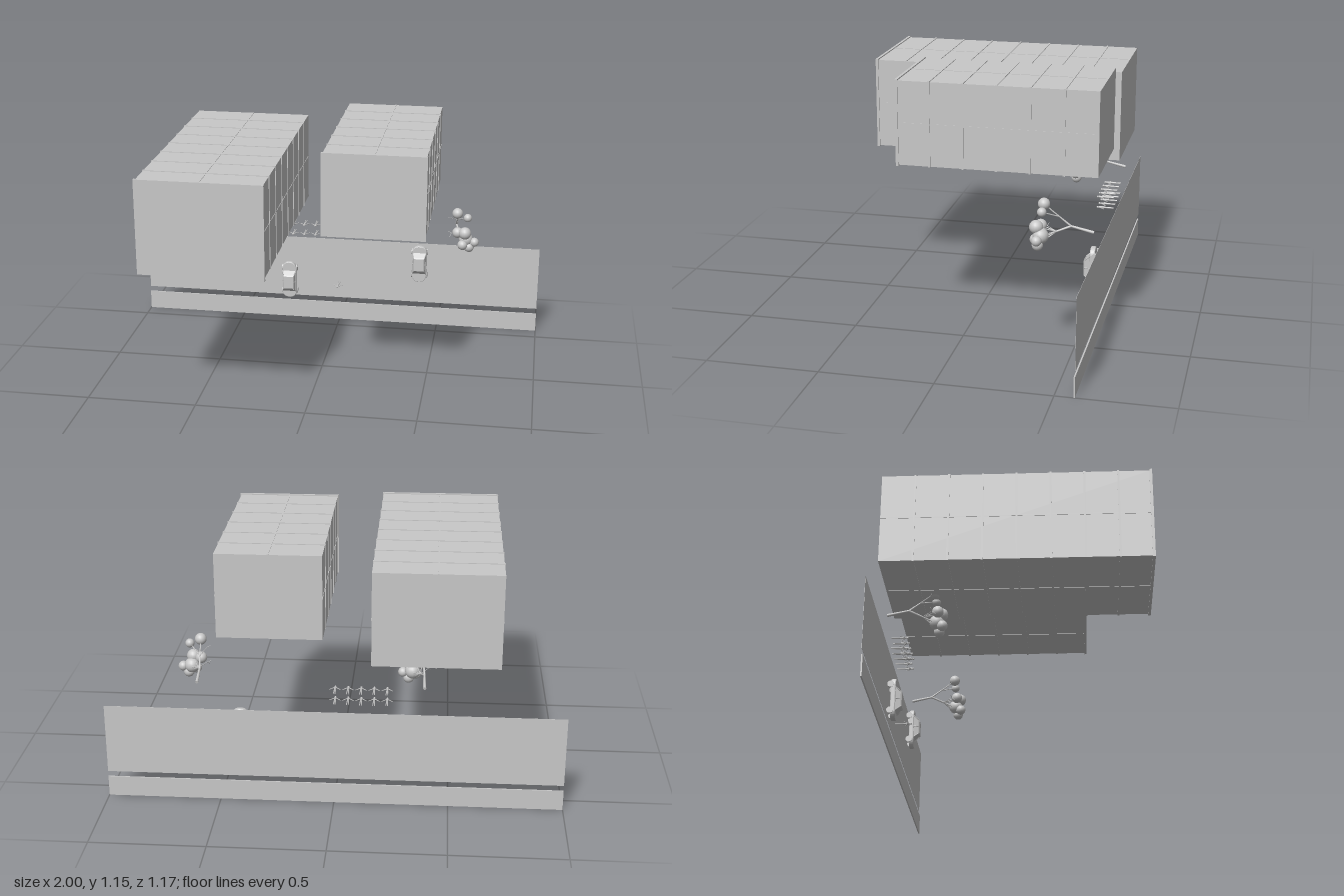
import * as THREE from 'three';

const GROUND = -0.585; // the scene's own "up" runs along +z
const grey = new THREE.MeshStandardMaterial({ color: 0xc8c8c8 });
grey.name = 'grey';

function add(parent, name, geometry, x = 0, y = 0, z = 0) {
  const mesh = new THREE.Mesh(geometry, grey);
  mesh.name = name;
  mesh.position.set(x, y, z);
  parent.add(mesh);
  return mesh;
}

// Box given by its limits on each axis
function slab(parent, name, [x0, x1], [y0, y1], [z0, z1]) {
  return add(parent, name, new THREE.BoxGeometry(x1 - x0, y1 - y0, z1 - z0),
    (x0 + x1) / 2, (y0 + y1) / 2, (z0 + z1) / 2);
}

// Tapered rod between two points
function rod(parent, name, a, b, r0, r1 = r0, sides = 8) {
  const p = new THREE.Vector3(...a), q = new THREE.Vector3(...b);
  const d = q.clone().sub(p);
  const mesh = add(parent, name, new THREE.CylinderGeometry(r1, r0, d.length(), sides));
  mesh.position.copy(p).add(q).multiplyScalar(0.5);
  mesh.quaternion.setFromUnitVectors(new THREE.Vector3(0, 1, 0), d.normalize());
  return mesh;
}

function group(parent, name, x = 0, y = 0, z = 0) {
  const g = new THREE.Group();
  g.name = name;
  g.position.set(x, y, z);
  parent.add(g);
  return g;
}

// Block with floor bands, a mullion in the middle of each side and a roof slab
function building(parent, name, [x0, x1], [y0, y1], top) {
  const g = group(parent, name);
  slab(g, 'walls', [x0, x1], [y0, y1], [GROUND, top - 0.006]);
  const e = 0.003, m = 0.002, h = 0.003;
  for (let z = GROUND + 0.1463; z < top - 0.05; z += 0.1463)
    slab(g, 'floorBand', [x0 - e, x1 + e], [y0 - e, y1 + e], [z - 0.0045, z + 0.0045]);
  const cx = (x0 + x1) / 2, cy = (y0 + y1) / 2;
  slab(g, 'sideMullions', [x0 - m, x1 + m], [cy - h, cy + h], [GROUND, top - 0.006]);
  slab(g, 'faceMullions', [cx - h, cx + h], [y0 - m, y1 + m], [GROUND, top - 0.006]);
  slab(g, 'roofSlab', [x0 - 0.005, x1 + 0.005], [y0 - 0.005, y1 + 0.005], [top - 0.012, top]);
}

// Rounded car outline seen from above
function carOutline(w, l) {
  const s = new THREE.Shape();
  s.moveTo(-w, -l * 0.72);
  s.quadraticCurveTo(-w * 0.85, -l, 0, -l);
  s.quadraticCurveTo(w * 0.85, -l, w, -l * 0.72);
  s.lineTo(w, l * 0.65);
  s.quadraticCurveTo(w * 0.8, l, 0, l);
  s.quadraticCurveTo(-w * 0.8, l, -w, l * 0.65);
  s.closePath();
  return s;
}

// Four-sided tapered block, base at z = 0
function frustum(w0, l0, w1, l1, h) {
  const geo = new THREE.BoxGeometry(2, 2, h).translate(0, 0, h / 2);
  const p = geo.attributes.position;
  for (let i = 0; i < p.count; i++) {
    const up = p.getZ(i) > h / 2;
    p.setX(i, p.getX(i) * (up ? w1 : w0));
    p.setY(i, p.getY(i) * (up ? l1 : l0));
  }
  geo.computeVertexNormals();
  return geo;
}

function car(parent, x, y, dir) {
  const g = group(parent, 'car', x, y, GROUND);
  if (dir < 0) g.rotation.z = Math.PI;
  add(g, 'body', new THREE.ExtrudeGeometry(carOutline(0.034, 0.093), {
    depth: 0.012, bevelThickness: 0.005, bevelSize: 0.003, bevelSegments: 2, curveSegments: 8,
  }), 0, 0, 0.021);
  add(g, 'cabin', frustum(0.033, 0.056, 0.026, 0.034, 0.024), 0, -0.006, 0.037);
  add(g, 'roof', frustum(0.028, 0.038, 0.024, 0.032, 0.005), 0, -0.006, 0.06);
  for (const s of [-1, 1]) {
    for (const wy of [-0.062, 0.061]) {
      const wheel = add(g, 'wheel', new THREE.CylinderGeometry(0.015, 0.015, 0.012, 20), s * 0.034, wy, 0.0155);
      wheel.rotation.z = Math.PI / 2;
    }
    // Window pillars
    for (const [b, t] of [[-0.062, -0.04], [-0.006, -0.006], [0.05, 0.028]])
      rod(g, 'pillar', [s * 0.033, b, 0.036], [s * 0.026, t, 0.062], 0.0025, 0.0025, 6);
  }
}

// Standing figure with arms held away from the sides
function figure(parent, x, y) {
  const g = group(parent, 'figure', x, y, GROUND);
  add(g, 'head', new THREE.SphereGeometry(0.005, 10, 8), 0, 0, 0.073);
  rod(g, 'torso', [0, 0, 0.037], [0, 0, 0.068], 0.004, 0.005);
  for (const s of [-1, 1]) {
    rod(g, 'leg', [s * 0.004, 0, 0], [s * 0.002, 0, 0.039], 0.002, 0.003, 6);
    rod(g, 'arm', [s * 0.003, 0, 0.064], [s * 0.024, 0, 0.042], 0.0025, 0.0015, 6);
  }
}

function tree(parent, x) {
  const g = group(parent, 'tree', x, 0.56, GROUND);
  const fork = [0.003, 0.022, 0.096], low = [0.02, 0.0, 0.155], high = [0.008, 0.062, 0.145];
  rod(g, 'trunk', [0, 0, 0], fork, 0.007, 0.005);
  rod(g, 'branch', fork, low, 0.005, 0.004);
  rod(g, 'branch', fork, high, 0.005, 0.003);
  // Leaf balls: x, y, z, radius
  const lower = [[0.016, 0.022, 0.222, 0.026], [0.052, 0.024, 0.235, 0.03], [0.056, -0.012, 0.215, 0.034],
    [0.098, -0.022, 0.225, 0.022], [0.073, -0.048, 0.225, 0.024], [0.042, -0.034, 0.24, 0.024]];
  const upper = [[0.013, 0.115, 0.21, 0.026], [0.062, 0.094, 0.21, 0.02]];
  for (const [from, balls] of [[low, lower], [high, upper]])
    for (const [bx, by, bz, r] of balls) {
      rod(g, 'twig', from, [bx, by, bz], 0.003, 0.002, 6);
      add(g, 'leafBall', new THREE.SphereGeometry(r, 16, 12), bx, by, bz);
    }
  // Bare twigs
  rod(g, 'twig', high, [-0.012, 0.08, 0.185], 0.002, 0.001, 6);
  rod(g, 'twig', [-0.012, 0.08, 0.185], [-0.03, 0.09, 0.2], 0.0015, 0.001, 6);
  rod(g, 'twig', low, [-0.015, 0.01, 0.2], 0.002, 0.001, 6);
  rod(g, 'twig', [-0.015, 0.01, 0.2], [-0.032, 0.018, 0.195], 0.0015, 0.001, 6);
  rod(g, 'twig', [-0.015, 0.01, 0.2], [-0.022, -0.005, 0.215], 0.0015, 0.001, 6);
}

export function createModel() {
  const model = new THREE.Group();
  model.name = 'streetScene';

  // Street
  slab(model, 'road', [-1, 1], [0.118, 0.435], [GROUND, GROUND + 0.001]);
  slab(model, 'pavement', [-1, 1], [0, 0.092], [GROUND, GROUND + 0.006]);

  // Buildings
  building(model, 'tallBuilding', [-0.71, -0.16], [0.657, 1.075], 0.585);
  building(model, 'shortBuilding', [0.045, 0.497], [0.77, 1.142], 0.295);

  // Traffic, trees and people
  car(model, -0.256, 0.213, 1);
  car(model, 0.407, 0.335, -1);
  for (const x of [-0.388, 0.587]) tree(model, x);
  for (const y of [0.475, 0.525])
    for (let i = 0; i < 5; i++) figure(model, -0.228 + i * 0.0562, y);
  figure(model, -0.003, 0.202);

  return model;
}
